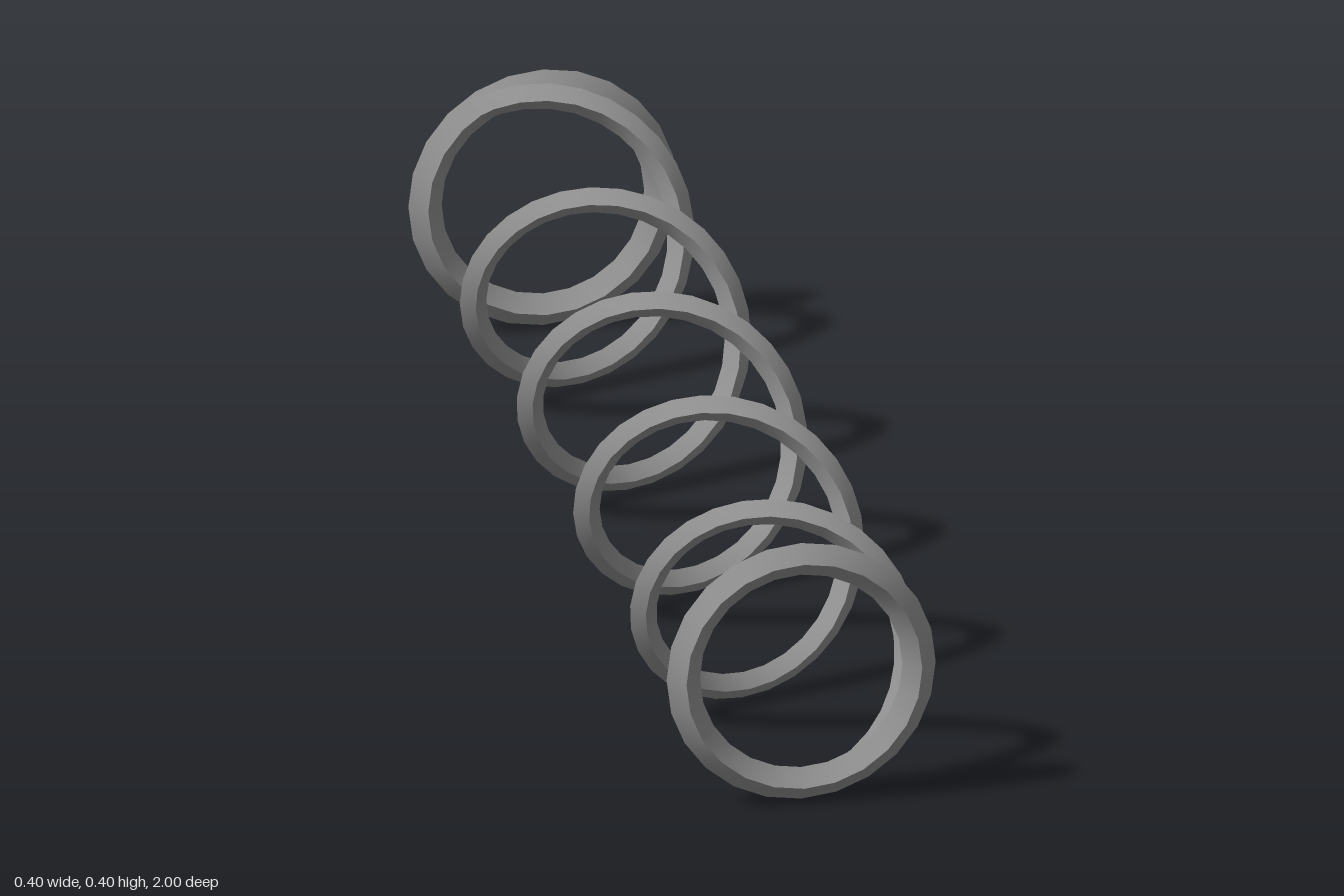
import * as THREE from 'three';
import { toCreasedNormals } from 'three/addons/utils/BufferGeometryUtils.js';

const RADIUS = 0.177;       // coil centreline
const COIL_WIRE = 0.02;     // centre to corner of the diamond section
const RING_WIRE = 0.025;
const END_Z = 0.975;
const CENTRE_Y = 0.203;
const PITCH = 0.428;
const START_ANGLE = THREE.MathUtils.degToRad(-73);
const CREASE = 0.7;         // sharp along the wire's edges, smooth around the turns

// Diamond wire swept along a helix, one corner pointing away from the coil axis
function helixGeometry() {
  const steps = 130, pos = [], index = [];
  const sweep = (2 * END_Z / PITCH) * Math.PI * 2;
  for (let s = 0; s <= steps; s++) {
    const t = s / steps, a = START_ANGLE + sweep * t;
    const radial = new THREE.Vector3(Math.cos(a), Math.sin(a), 0);
    const tangent = new THREE.Vector3(-RADIUS * Math.sin(a), RADIUS * Math.cos(a), -PITCH / (2 * Math.PI)).normalize();
    const binormal = tangent.clone().cross(radial);
    const centre = radial.clone().multiplyScalar(RADIUS).setZ(END_Z - 2 * END_Z * t);
    for (let i = 0; i < 4; i++) {
      const c = i * Math.PI / 2;
      const p = centre.clone()
        .addScaledVector(radial, COIL_WIRE * Math.cos(c))
        .addScaledVector(binormal, COIL_WIRE * Math.sin(c));
      pos.push(p.x, p.y, p.z);
      if (s < steps) {
        const p0 = s * 4 + i, p1 = s * 4 + (i + 1) % 4;
        index.push(p0, p1, p1 + 4, p0, p1 + 4, p0 + 4);
      }
    }
  }
  // End caps
  const e = steps * 4;
  index.push(0, 3, 2, 0, 2, 1, e, e + 1, e + 2, e, e + 2, e + 3);
  const geo = new THREE.BufferGeometry();
  geo.setAttribute('position', new THREE.Float32BufferAttribute(pos, 3));
  geo.setIndex(index);
  return toCreasedNormals(geo, CREASE);
}

export function createModel() {
  const group = new THREE.Group();
  group.name = 'coilSpring';
  const material = new THREE.MeshStandardMaterial({ color: 0x969696 });

  const coil = new THREE.Mesh(helixGeometry(), material);
  coil.name = 'coil';
  coil.position.y = CENTRE_Y;
  group.add(coil);

  // Closed end rings with a diamond section
  const ringGeometry = toCreasedNormals(new THREE.TorusGeometry(RADIUS, RING_WIRE, 4, 24), CREASE);
  for (const [name, z] of [['frontRing', END_Z], ['backRing', -END_Z]]) {
    const ring = new THREE.Mesh(ringGeometry, material);
    ring.name = name;
    ring.position.set(0, CENTRE_Y, z);
    group.add(ring);
  }
  return group;
}
